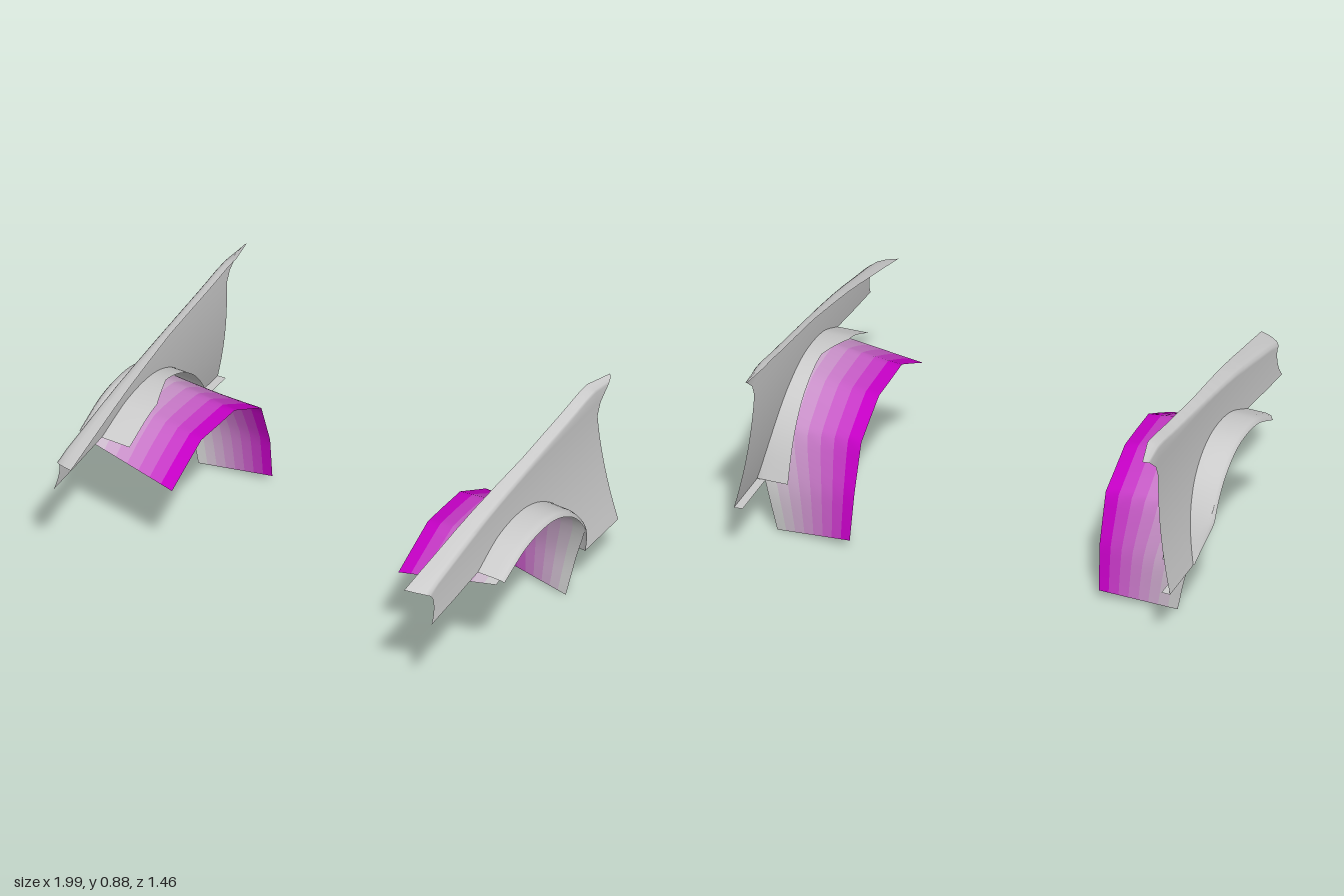
import * as THREE from 'three';

const lerp = THREE.MathUtils.lerp;
const clamp01 = (t) => Math.min(1, Math.max(0, t));

// Smooth open sheet through rows of [x, y, z] points
function sheet(name, rows, color = 0xcccccc) {
  const w = rows[0].length, index = [];
  for (let i = 0; i < rows.length - 1; i++) {
    for (let j = 0; j < w - 1; j++) {
      const a = i * w + j, b = a + w;
      index.push(a, b, a + 1, b, b + 1, a + 1);
    }
  }
  const geo = new THREE.BufferGeometry();
  geo.setAttribute('position', new THREE.Float32BufferAttribute(rows.flat(2), 3));
  geo.setIndex(index);
  geo.computeVertexNormals();
  const mesh = new THREE.Mesh(geo, new THREE.MeshStandardMaterial({ color, side: THREE.DoubleSide }));
  mesh.name = name;
  return mesh;
}

// Wheel arch opening, front to back, as [z, y]
const archCurve = new THREE.SplineCurve([
  [0.33, 0.555], [0.2, 0.615], [0.12, 0.637], [0.03, 0.645], [-0.06, 0.637], [-0.15, 0.605],
  [-0.24, 0.545], [-0.31, 0.46], [-0.36, 0.36], [-0.4, 0.235],
].map(([z, y]) => new THREE.Vector2(z, y)));
const arch = archCurve.getPoints(36).map((p) => [p.x, p.y]);

// Top edge height of the fender along z
const topEdge = new THREE.SplineCurve([
  [0.73, 0.675], [0.6, 0.703], [0.4, 0.745], [0.2, 0.783], [0, 0.812],
  [-0.2, 0.837], [-0.4, 0.861], [-0.59, 0.885], [-0.73, 0.87],
].map(([z, y]) => new THREE.Vector2(z, y))).getPoints(160);
function topY(z) {
  const p = topEdge.find((q) => q.x <= z + 1e-6);
  return p ? p.y : 0.87;
}

// Panel swells outward toward the sill
const panelX = (y) => 0.867 + 0.07 * clamp01((0.8 - y) / 0.565) ** 2;
const topX = (z) => (z < -0.6 ? lerp(0.815, 0.85, (-0.6 - z) / 0.13) : lerp(0.82, 0.78, clamp01((z + 0.1) / 0.83)));

// Notched front edge and swept rear edge of the panel
const frontZ = (y) => (y < 0.6 ? 0.66 + 0.03 * ((0.6 - y) / 0.08) ** 2 : 0.66 + 0.07 * ((y - 0.6) / 0.075) ** 3);
const rearZ = (y) => (y < 0.74 ? lerp(-0.65, -0.605, (y - 0.235) / 0.505) : -0.605 - 0.125 * ((y - 0.74) / 0.13) ** 2);

function fenderPanel() {
  const bottom = [[0.69, 0.52], [0.6, 0.528], [0.51, 0.536], [0.42, 0.546], ...arch,
    [-0.46, 0.235], [-0.52, 0.235], [-0.58, 0.235], [-0.65, 0.235]];
  const n = bottom.length - 1;
  const rows = bottom.map(([z0, y0], i) => {
    // Columns fan out behind the wheel
    const z1 = i === 0 ? 0.73 : i === n ? -0.73
      : z0 > -0.24 ? z0 * 1.03 : lerp(-0.247, -0.6, (i - 28) / (n - 1 - 28));
    const top = topY(z1), crease = top - 0.022;
    const at = (x, y, t) => [x, y, i === 0 ? frontZ(y) : i === n ? rearZ(y) : lerp(z0, z1, t)];
    const col = [];
    for (let k = 0; k <= 12; k++) {
      const y = lerp(y0, crease, k / 12);
      col.push(at(panelX(y), y, (y - y0) / (top - y0)));
    }
    // Inward rolled top flange
    for (const [s, h] of [[0.15, 0.4], [0.5, 0.75], [1, 1]]) {
      const y = lerp(crease, top, h);
      col.push(at(lerp(panelX(crease), topX(z1), s), y, (y - y0) / (top - y0)));
    }
    return col;
  });
  return sheet('fenderPanel', rows);
}

// Lip standing out around the wheel opening
function archFlare() {
  const rows = arch.map(([z, y]) => {
    const dz = z - 0.02, dy = y - 0.2, len = Math.hypot(dz, dy);
    const outer = lerp(0.94, 0.995, clamp01((y - 0.235) / 0.17));
    const inner = lerp(0.805, 0.75, clamp01((z + 0.04) / 0.16));
    const drop = 0.026 * clamp01((y - 0.2) / 0.2);
    return [[inner, 0], [0.87, 0], [outer - 0.035, 0.1], [outer - 0.012, 0.35], [outer, 1]].map(([x, d]) =>
      [x, y - (dy / len) * drop * d, z - (dz / len) * drop * d]);
  });
  return sheet('archFlare', rows);
}

// Wheel well liner, lofted from a faceted inner edge to a round outer edge
function linerStrips() {
  const inner = [[0.53, 0.445, 0.365], [0.53, 0.502, 0.253], [0.53, 0.558, 0.14], [0.528, 0.554, 0.01],
    [0.528, 0.55, -0.11], [0.527, 0.495, -0.21], [0.525, 0.44, -0.31], [0.527, 0.24, -0.38], [0.535, 0.04, -0.41]];
  const outer = [[0.97, 0.53, 0.335], [0.98, 0.588, 0.22], [0.985, 0.615, 0.12], [0.985, 0.62, 0.03],
    [0.985, 0.595, -0.12], [0.985, 0.52, -0.235], [0.98, 0.42, -0.325], [0.905, 0.2, -0.38], [0.86, 0.003, -0.375]];
  const group = new THREE.Group();
  group.name = 'wheelLiner';
  const outerCurve = new THREE.CatmullRomCurve3(outer.map((p) => new THREE.Vector3(...p)));
  const steps = 4, count = (inner.length - 1) * steps, strips = 8;
  const point = (i, t) => {
    const k = Math.min(Math.floor(i / steps), inner.length - 2), f = i / steps - k;
    const o = outerCurve.getPoint(i / count).toArray();
    return o.map((v, c) => lerp(lerp(inner[k][c], inner[k + 1][c], f), v, t));
  };
  // Strips fade from purple to grey toward the outside
  for (let s = 0; s < strips; s++) {
    const rows = [];
    for (let i = 0; i <= count; i++) rows.push([point(i, s / strips), point(i, (s + 1) / strips)]);
    const color = new THREE.Color(0xc400c4).lerp(new THREE.Color(0xcccccc), (s / (strips - 1)) ** 1.4);
    group.add(sheet('linerStrip' + (s + 1), rows, color));
  }
  return group;
}

function fenderSide(name) {
  const side = new THREE.Group();
  side.name = name;
  // Folded flange along the bottom of the panel
  const sill = sheet('sillFlange', [-0.4, -0.65].map((z) => [[0.937, 0.235, z], [0.9, 0.237, z]]));
  side.add(fenderPanel(), archFlare(), linerStrips(), sill);
  return side;
}

export function createModel() {
  const model = new THREE.Group();
  model.name = 'fenderPair';
  const left = fenderSide('leftFender');
  const right = fenderSide('rightFender');
  right.scale.x = -1;
  model.add(left, right);
  return model;
}
